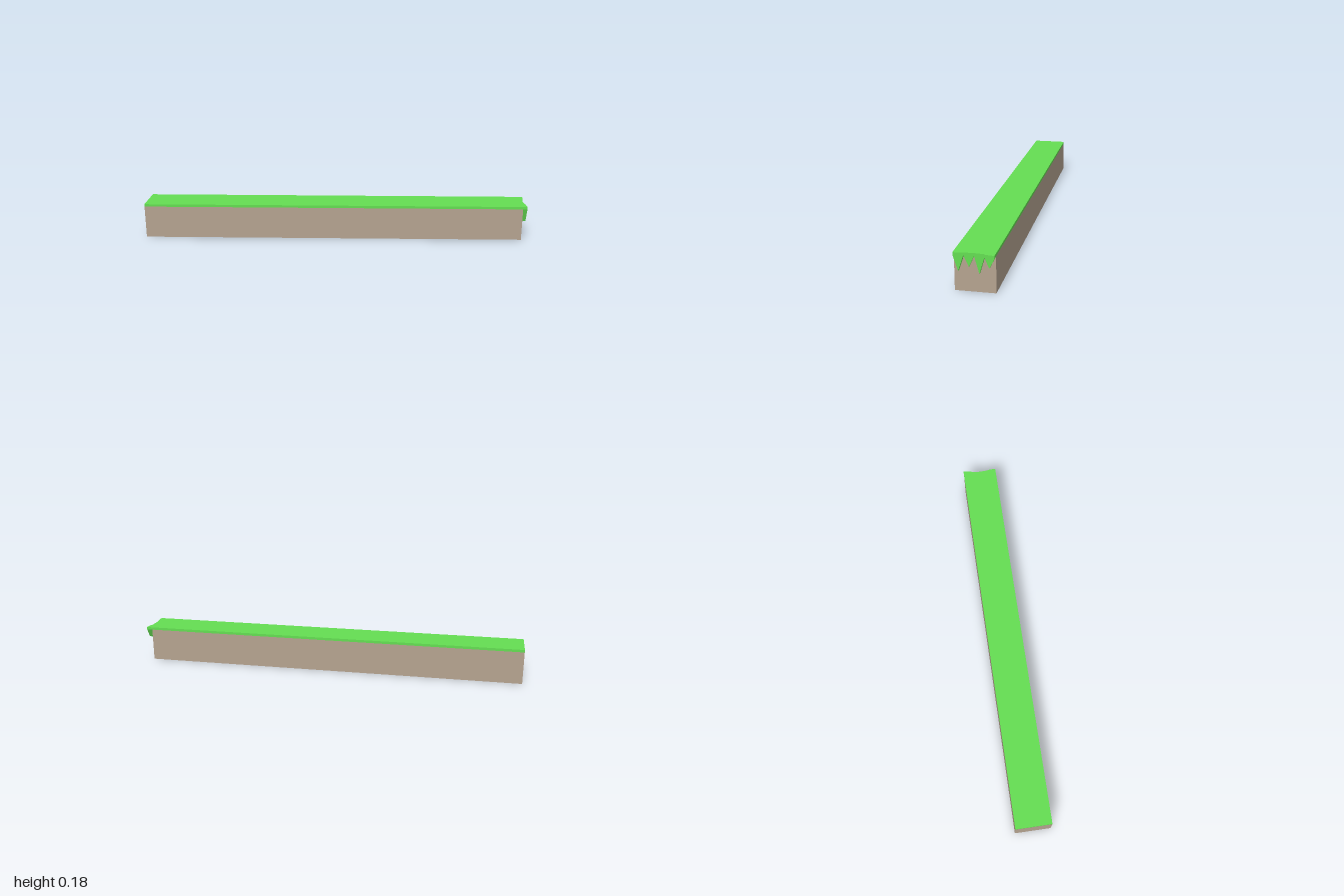
import * as THREE from 'three';

const HALF = 0.09, END = 0.97, TOP = 0.18, SEAM = 0.167;

export function createModel() {
  const dirt = new THREE.MeshStandardMaterial({ color: 0xb5a390 });
  dirt.name = 'dirt brown';
  const grass = new THREE.MeshStandardMaterial({ color: 0x64de52 });
  grass.name = 'grass green';

  const group = new THREE.Group();
  group.name = 'grassLedge';
  const add = (name, geometry, material) => {
    const mesh = new THREE.Mesh(geometry, material);
    mesh.name = name;
    group.add(mesh);
  };

  // Long bar spanning x = -1 to END between two heights
  const bar = (y0, y1) =>
    new THREE.BoxGeometry(END + 1, y1 - y0, HALF * 2).translate((END - 1) / 2, (y0 + y1) / 2, 0);
  add('dirtBlock', bar(0, SEAM), dirt);
  add('grassTop', bar(SEAM, TOP), grass);

  // Hanging grass teeth, from +z to -z: tip height and the outer x on each side
  const teeth = [
    { tip: 0.097, x0: 0.992, x1: 0.99 },
    { tip: 0.117, x0: 0.987, x1: 0.985 },
    { tip: 0.089, x0: 0.985, x1: 0.989 },
    { tip: 0.121, x0: 0.994, x1: 1.0 },
  ];
  const w = HALF * 2 / teeth.length;
  teeth.forEach(({ tip, x0, x1 }, i) => {
    const s = -HALF + i * w;
    const shape = new THREE.Shape([
      [s, SEAM], [s + w / 2, tip], [s + w, SEAM], [s + w, TOP], [s, TOP],
    ].map(([a, b]) => new THREE.Vector2(a, b)));
    const geometry = new THREE.ExtrudeGeometry(shape, { depth: 1, bevelEnabled: false });
    geometry.rotateY(Math.PI / 2);
    // Slant the outer face so the grass edge is jagged
    const p = geometry.attributes.position;
    for (let k = 0; k < p.count; k++) {
      const t = (-p.getZ(k) - s) / w;
      p.setX(k, p.getX(k) > 0.5 ? x0 + (x1 - x0) * t : END);
    }
    geometry.computeVertexNormals();
    add('grassTooth' + (i + 1), geometry, grass);
  });

  return group;
}
